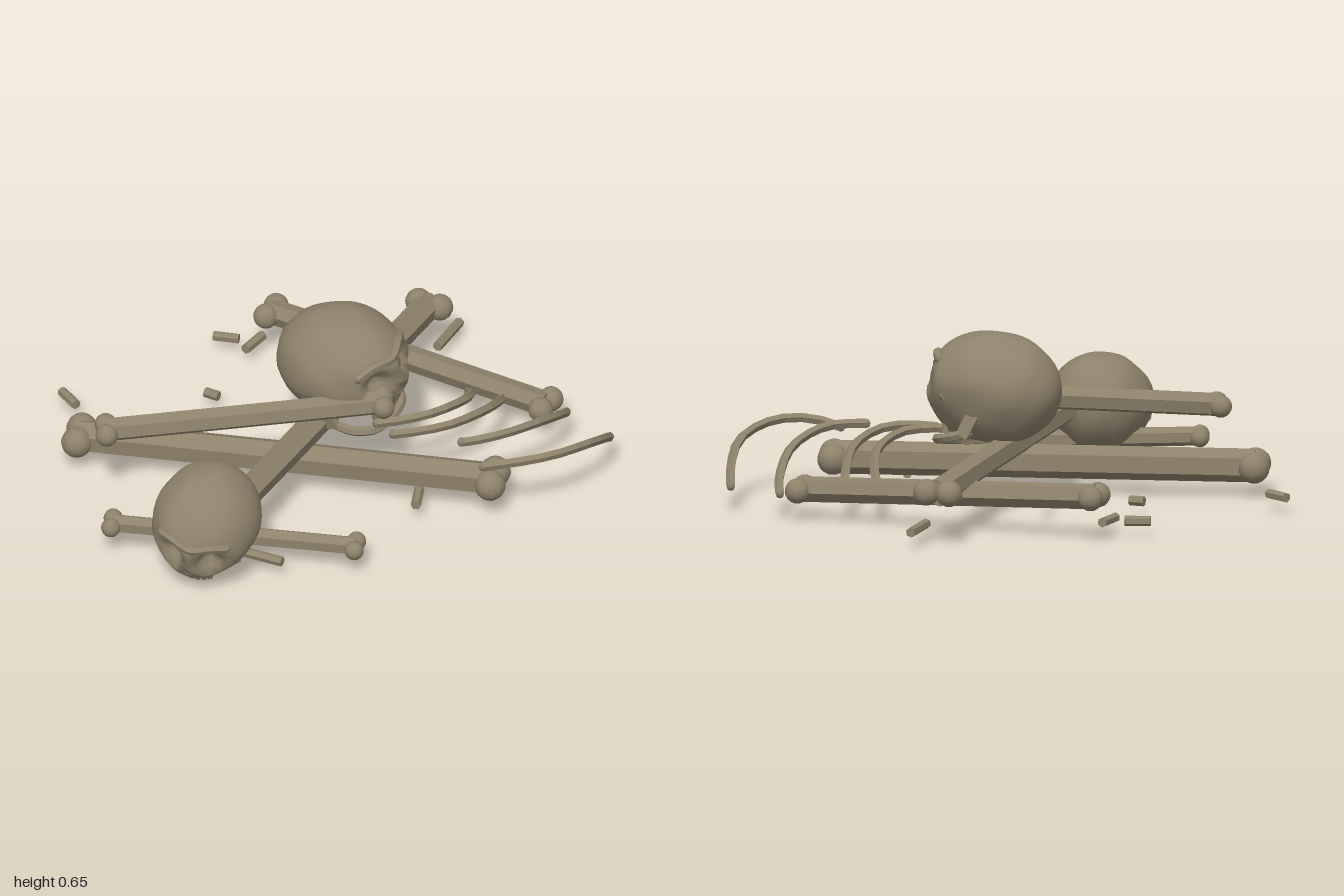
import * as THREE from 'three';
import { mergeVertices } from 'three/addons/utils/BufferGeometryUtils.js';

const V = (x, y, z) => new THREE.Vector3(x, y, z);
const boneMat = new THREE.MeshStandardMaterial({ color: 0x8e826a });
boneMat.name = 'old bone';
const facetMat = boneMat.clone();
facetMat.flatShading = true;
facetMat.name = 'old bone faceted';

function add(parent, name, geometry, material = boneMat) {
  const mesh = new THREE.Mesh(geometry, material);
  mesh.name = name;
  parent.add(mesh);
  return mesh;
}

// Straight prism between two points
function rod(parent, name, a, b, r, sides = 6) {
  const d = b.clone().sub(a);
  const mesh = add(parent, name, new THREE.CylinderGeometry(r, r, d.length(), sides), facetMat);
  mesh.position.copy(a).lerp(b, 0.5);
  mesh.quaternion.setFromUnitVectors(V(0, 1, 0), d.normalize());
}

// Long bone: faceted shaft with two knuckles at each end
function longBone(parent, a, b, shaftR, ballR, spread) {
  const g = new THREE.Group();
  g.name = 'longBone';
  rod(g, 'shaft', a, b, shaftR);
  const side = b.clone().sub(a).cross(V(0, 1, 0)).normalize().multiplyScalar(spread);
  for (const end of [a, b]) for (const s of [-1, 1])
    add(g, 'knuckle', new THREE.SphereGeometry(ballR, 14, 10)).position.copy(end).addScaledVector(side, s);
  parent.add(g);
}

function tube(parent, name, points, r, segments = 10, sides = 6) {
  const curve = new THREE.CatmullRomCurve3(points);
  add(parent, name, new THREE.TubeGeometry(curve, segments, r, sides), facetMat);
  for (const t of [0, 1])
    add(parent, name + 'Tip', new THREE.SphereGeometry(r * 0.98, 6, 4)).position.copy(curve.getPoint(t));
}

// Cranium: sphere narrowed at the face, with hollow eyes and nose
function craniumGeometry() {
  let geo = new THREE.SphereGeometry(1, 40, 28);
  geo.deleteAttribute('uv');
  geo.deleteAttribute('normal');
  geo = mergeVertices(geo, 1e-4);
  const pos = geo.attributes.position;
  const pits = [
    [V(-0.4, 0.1, 0.91).normalize(), 0.25, 0.3],
    [V(0.4, 0.1, 0.91).normalize(), 0.25, 0.3],
    [V(0, -0.32, 0.95).normalize(), 0.13, 0.22],
  ];
  const p = V(0, 0, 0);
  for (let i = 0; i < pos.count; i++) {
    p.fromBufferAttribute(pos, i);
    let k = 1 + 0.014 * Math.sin(p.x * 7 + p.y * 5) * Math.cos(p.z * 6);
    for (const [dir, size, depth] of pits)
      k -= depth * Math.exp(-((p.distanceTo(dir) / size) ** 4));
    const low = Math.max(0, -p.y);
    const narrow = 1 - 0.3 * low * (0.5 + Math.max(0, p.z));
    const y = Math.max(p.y, -0.93 + 0.12 * Math.max(0, -p.z));
    pos.setXYZ(i, p.x * k * narrow * 0.222, y * k * 0.213, p.z * k * 0.262);
  }
  geo.computeVertexNormals();
  return geo;
}

function skull(parent, name, center, facing, roll, scale, withJaw) {
  const g = new THREE.Group();
  g.name = name;
  add(g, 'cranium', craniumGeometry());
  // Brow ridge
  tube(g, 'brow', [V(-0.14, 0.085, 0.168), V(-0.08, 0.108, 0.205), V(0, 0.092, 0.226),
    V(0.08, 0.108, 0.205), V(0.14, 0.085, 0.168)], 0.019, 14);
  for (const s of [-1, 1]) {
    // Cheekbone
    rod(g, 'cheekbone', V(s * 0.06, -0.065, 0.215), V(s * 0.175, -0.045, 0.11), 0.02);
    // Upper teeth
    for (let i = 0; i < 3; i++) {
      const tooth = add(g, 'tooth', new THREE.BoxGeometry(0.021, 0.036, 0.018), facetMat);
      const a = s * (0.13 + i * 0.25);
      tooth.position.set(Math.sin(a) * 0.1, -0.17, 0.07 + Math.cos(a) * 0.1);
      tooth.rotation.y = a;
    }
  }
  if (withJaw) {
    // Lower jaw loop with upright branches
    tube(g, 'jaw', [V(-0.155, -0.175, 0.01), V(-0.14, -0.2, 0.1), V(-0.08, -0.21, 0.17),
      V(0.08, -0.21, 0.17), V(0.14, -0.2, 0.1), V(0.155, -0.175, 0.01)], 0.019, 16);
    for (const s of [-1, 1]) {
      const branch = add(g, 'jawBranch', new THREE.BoxGeometry(0.026, 0.13, 0.05), facetMat);
      branch.position.set(s * 0.16, -0.13, 0.005);
      branch.rotation.x = -0.4;
    }
  }
  g.position.copy(center);
  g.lookAt(center.clone().add(facing));
  g.rotateZ(roll);
  g.scale.setScalar(scale);
  parent.add(g);
}

export function createModel() {
  const model = new THREE.Group();
  model.name = 'bonePile';

  // Long bones, crossing each other
  longBone(model, V(-0.84, 0.085, -0.305), V(0.46, 0.1, 0.56), 0.063, 0.058, 0.048);
  longBone(model, V(-0.84, 0.27, -0.04), V(0.13, 0.355, 0.292), 0.046, 0.042, 0.037);
  longBone(model, V(0.645, 0.165, -0.522), V(-0.59, 0.21, 0.56), 0.053, 0.05, 0.044);
  longBone(model, V(0.103, 0.135, -0.743), V(0.838, 0.085, 0.15), 0.048, 0.047, 0.04);
  longBone(model, V(-0.95, 0.085, 0.288), V(-0.165, 0.07, 0.748), 0.036, 0.036, 0.032);

  // Skulls
  skull(model, 'upperSkull', V(0.072, 0.408, 0.05), V(0.56, 0.03, 0.83), 0.2, 1, true);
  skull(model, 'lowerSkull', V(-0.675, 0.19, 0.545), V(-0.62, -0.38, 0.7), -0.12, 0.9, false);

  // Ribs: arched arcs, falling from the outermost bend to the tip
  const ribs = [
    [[0.13, 0.23], [0.22, 0.26], [0.35, 0.255], [0.5, 0.17], [0.585, 0.04], [0.615, -0.06]],
    [[0.16, 0.32], [0.25, 0.35], [0.37, 0.355], [0.54, 0.27], [0.66, 0.13], [0.72, 0.02]],
    [[0.37, 0.475], [0.45, 0.488], [0.55, 0.482], [0.73, 0.4], [0.86, 0.27], [0.9, 0.2]],
    [[0.4, 0.61], [0.49, 0.67], [0.64, 0.688], [0.83, 0.61], [0.94, 0.49], [0.985, 0.415]],
  ];
  for (const path of ribs) {
    const top = Math.max(...path.map((q) => q[1]));
    const tip = path[path.length - 1][1];
    const height = (z) => 0.235 - 0.17 * ((top - z) / (top - tip)) ** 1.2;
    tube(model, 'rib', path.map(([x, z]) => V(x, height(z), z)), 0.018, 10, 5);
  }

  // Small fragments scattered on the ground: x, z of both ends
  const fragments = [
    [-0.1, -0.81, -0.02, -0.755], [-0.025, -0.68, 0.07, -0.745], [-0.76, -0.675, -0.745, -0.57],
    [-0.27, -0.47, -0.235, -0.425], [0.065, -0.3, -0.015, -0.205], [0.78, -0.555, 0.64, -0.43],
    [0.22, 0.43, 0.165, 0.53], [-0.54, 0.58, -0.435, 0.695],
  ];
  for (const [x1, z1, x2, z2] of fragments)
    rod(model, 'fragment', V(x1, 0.034, z1), V(x2, 0.034, z2), 0.019);

  return model;
}
